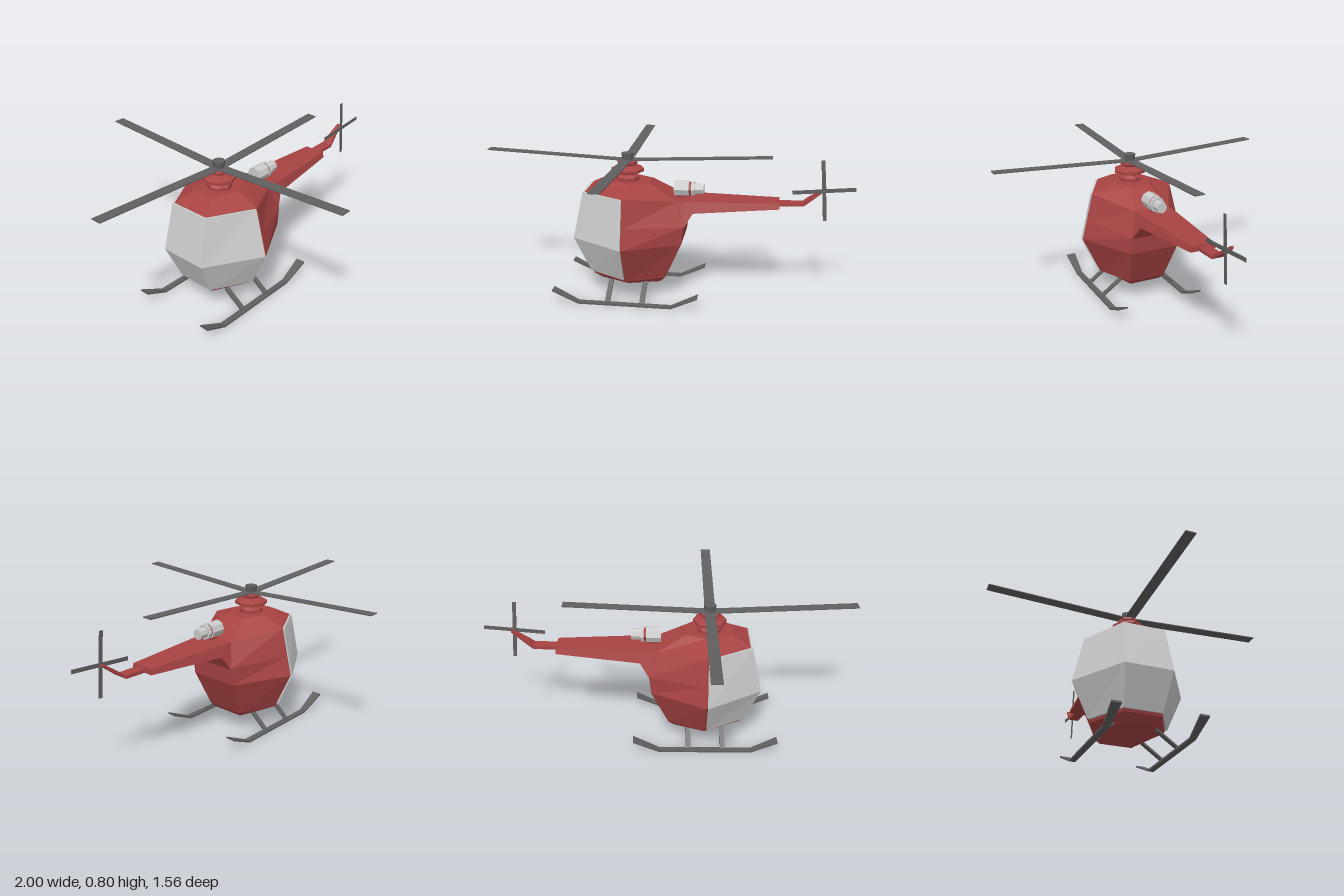
import * as THREE from 'three';

const mat = (color) => new THREE.MeshStandardMaterial({ color, flatShading: true });
const red = mat(0xa84343), dark = mat(0x606060), grey = mat(0xcccccc);

// Closed solid through a list of equal-length rings of [x, y, z] points
function loft(rings) {
  const tris = [], n = rings[0].length;
  for (let i = 0; i < rings.length - 1; i++) {
    for (let j = 0; j < n; j++) {
      const k = (j + 1) % n, a = rings[i], b = rings[i + 1];
      tris.push([a[j], b[j], b[k]], [a[j], b[k], a[k]]);
    }
  }
  const first = rings[0], last = rings[rings.length - 1];
  for (let j = 1; j < n - 1; j++) {
    tris.push([first[0], first[j], first[j + 1]], [last[0], last[j + 1], last[j]]);
  }
  // Turn all faces outwards, judged by the signed volume
  const c = first[0];
  let volume = 0;
  for (const t of tris) {
    const [p, q, r] = t.map((v) => new THREE.Vector3(v[0] - c[0], v[1] - c[1], v[2] - c[2]));
    volume += p.dot(q.cross(r));
  }
  if (volume < 0) tris.forEach((t) => t.reverse());
  const geo = new THREE.BufferGeometry();
  geo.setAttribute('position', new THREE.Float32BufferAttribute(tris.flat(2), 3));
  geo.computeVertexNormals();
  return geo;
}

// Upright section across x: bottom, top, half width at the bottom and top
const sectionX = (x, y0, y1, w0, w1 = w0) => [[x, y0, w0], [x, y1, w1], [x, y1, -w1], [x, y0, -w0]];

export function createModel() {
  const model = new THREE.Group();
  const add = (name, geo, material, parent = model) => {
    const mesh = new THREE.Mesh(geo, material);
    mesh.name = name;
    parent.add(mesh);
    return mesh;
  };

  // Six-sided cabin: y, nose x and half width, middle half width, rear x, half width and y
  const cabin = [
    [0.09, -0.36, 0.07, 0.14, -0.03, 0.09, 0.09],
    [0.125, -0.40, 0.10, 0.205, 0.0, 0.105, 0.12],
    [0.34, -0.49, 0.13, 0.305, 0.092, 0.14, 0.33],
    [0.45, -0.467, 0.122, 0.277, 0.103, 0.14, 0.43],
    [0.60, -0.435, 0.11, 0.24, 0.06, 0.10, 0.56],
    [0.65, -0.34, 0.06, 0.11, -0.09, 0.06, 0.645],
  ];
  add('cabin', loft(cabin.map(([y, nx, nz, mz, rx, rz, ry]) => [
    [nx, y, nz], [-0.2, y, mz], [rx, ry, rz], [rx, ry, -rz], [-0.2, y, -mz], [nx, y, -nz],
  ])), red);

  // Windscreen shell, standing slightly proud of the cabin
  const screen = [[0.14, -0.415, 0.105, 0.22], [0.34, -0.502, 0.132, 0.31], [0.598, -0.447, 0.115, 0.246]];
  add('windscreen', loft(screen.map(([y, nx, nz, mz]) => [
    [nx, y, nz], [-0.21, y, mz], [-0.21, y, -mz], [nx, y, -nz],
  ])), grey);

  // Tail boom and upswept tip
  add('tailBoom', loft([
    sectionX(0.0, 0.42, 0.56, 0.13, 0.10),
    sectionX(0.1, 0.42, 0.56, 0.138, 0.10),
    sectionX(0.15, 0.5, 0.56, 0.112, 0.095),
    sectionX(0.605, 0.53, 0.56, 0.068, 0.06),
  ]), red);
  add('tailTip', loft([
    sectionX(0.59, 0.535, 0.553, 0.03),
    sectionX(0.73, 0.54, 0.556, 0.03),
    sectionX(0.75, 0.553, 0.575, 0.026),
    sectionX(0.845, 0.628, 0.645, 0.01),
  ]), red);

  // Tail rotor: two crossed bars on a short axle
  const tailRotor = new THREE.Group();
  tailRotor.name = 'tailRotor';
  tailRotor.position.set(0.833, 0.628, 0.025);
  tailRotor.rotation.z = 0.09;
  model.add(tailRotor);
  add('tailBladePair', new THREE.BoxGeometry(0.33, 0.02, 0.004), dark, tailRotor);
  add('tailBladePair', new THREE.BoxGeometry(0.02, 0.33, 0.004), dark, tailRotor);
  add('tailAxle', new THREE.CylinderGeometry(0.008, 0.008, 0.035, 6).rotateX(Math.PI / 2), dark, tailRotor)
    .position.z = -0.012;

  // Stepped rotor mast
  const mast = [[0.065, 0.64], [0.065, 0.665], [0.045, 0.68], [0.09, 0.695], [0.09, 0.71],
    [0.045, 0.73], [0.055, 0.738], [0.055, 0.75], [0.035, 0.76], [0, 0.76]];
  add('rotorMast', new THREE.LatheGeometry(mast.map(([r, y]) => new THREE.Vector2(r, y)), 8), red)
    .position.x = -0.22;

  // Main rotor: four thin blades rising towards the tips
  const rotor = new THREE.Group();
  rotor.name = 'mainRotor';
  rotor.position.set(-0.22, 0.757, 0);
  model.add(rotor);
  add('rotorCap', new THREE.CylinderGeometry(0.034, 0.028, 0.038, 8), dark, rotor).position.y = 0.019;
  for (let i = 0; i < 4; i++) {
    const blade = new THREE.BoxGeometry(0.78, 0.005, 0.056).translate(0.39, 0, 0);
    blade.rotateZ(0.046).rotateY(i * Math.PI / 2);
    add('rotorBlade', blade, dark, rotor);
  }

  // Engine exhaust: grey barrels with a red collar between
  const exhaust = new THREE.Group();
  exhaust.name = 'exhaust';
  exhaust.position.set(0, 0.612, 0.012);
  model.add(exhaust);
  for (const [name, x0, x1, r, m] of [
    ['exhaustBarrel', 0.04, 0.12, 0.044, grey],
    ['exhaustCollar', 0.12, 0.132, 0.036, red],
    ['exhaustRing', 0.132, 0.15, 0.042, grey],
    ['exhaustNozzle', 0.15, 0.2, 0.03, grey],
  ]) {
    add(name, new THREE.CylinderGeometry(r, r, x1 - x0, 8).rotateZ(Math.PI / 2), m, exhaust)
      .position.x = (x0 + x1) / 2;
  }
  add('exhaustMount', new THREE.BoxGeometry(0.06, 0.04, 0.03), red, exhaust).position.set(0.09, -0.045, 0);

  // Skids with upturned, flared ends and two struts on each side
  for (const side of [1, -1]) {
    const skid = new THREE.Group();
    skid.name = side > 0 ? 'leftSkid' : 'rightSkid';
    model.add(skid);
    const zc = side * 0.225 + 0.011;
    const runner = [[-0.6, 0.068, 0.026], [-0.46, 0, 0.017], [0.05, 0, 0.017], [0.193, 0.068, 0.026]];
    add('runner', loft(runner.map(([x, y, w]) => [
      [x, y, zc + w], [x, y + 0.01, zc + w], [x, y + 0.01, zc - w], [x, y, zc - w],
    ])), dark, skid);
    for (const x of [-0.3, -0.11]) {
      const ring = (y, z) => [[x - 0.014, y, z], [x + 0.014, y, z],
        [x + 0.014, y + 0.012, z], [x - 0.014, y + 0.012, z]];
      add('strut', loft([ring(0.09, side * 0.115), ring(0.003, zc)]), dark, skid);
    }
  }
  return model;
}
